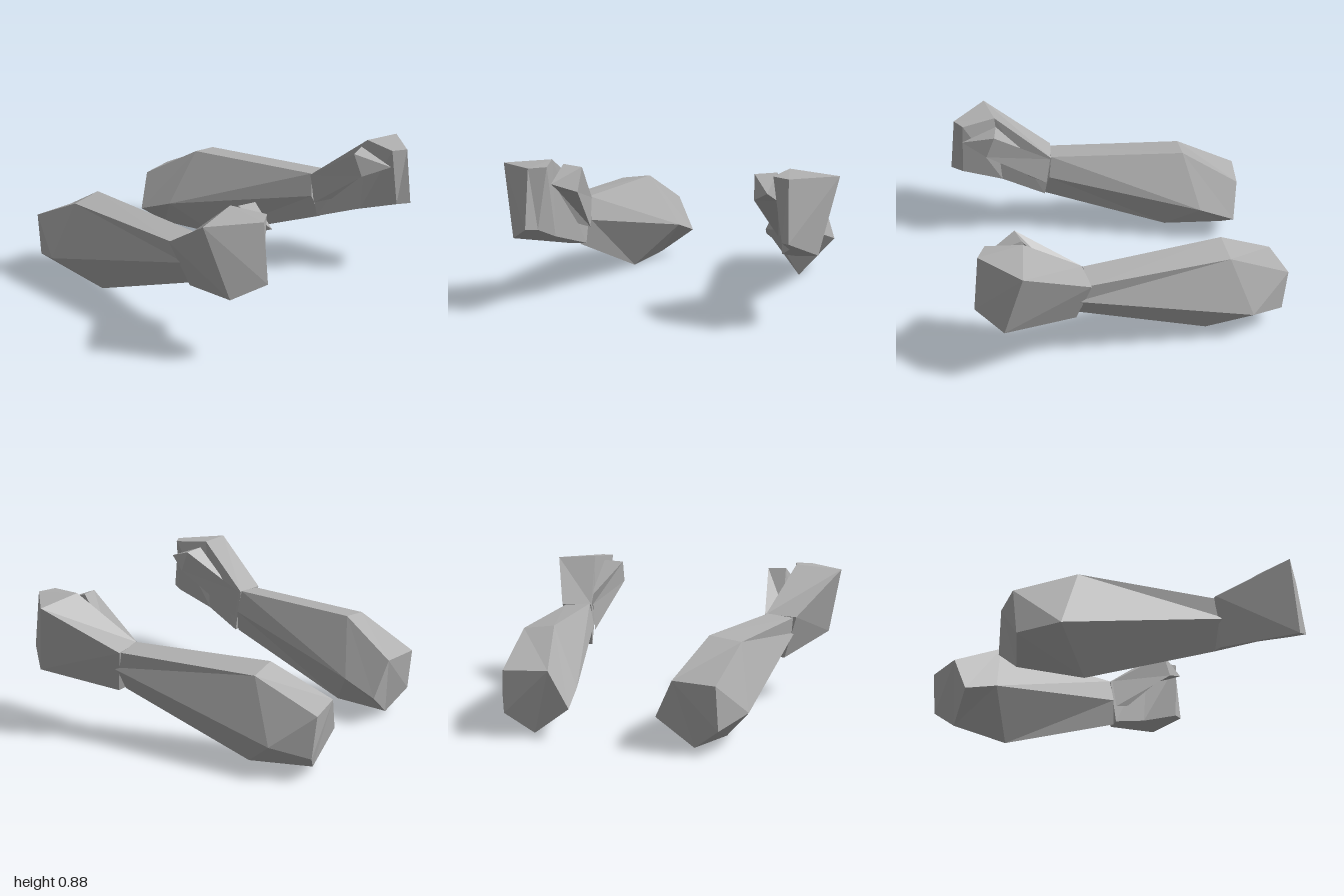
import * as THREE from 'three';

const grey = new THREE.MeshStandardMaterial({ color: 0xb0b0b0, flatShading: true });
grey.name = 'grey';

// Closed faceted solid through rings of equal length; side = -1 mirrors it in x
function loft(name, rings, side) {
  const pts = rings.map(r => r.map(([x, y, z]) => new THREE.Vector3(x * side, y, z)));
  const tris = [];
  const n = pts[0].length;
  for (let k = 0; k < pts.length - 1; k++) {
    const p = pts[k], q = pts[k + 1];
    for (let i = 0; i < n; i++) {
      const j = (i + 1) % n;
      tris.push([p[i], p[j], q[i]], [p[j], q[j], q[i]]);
    }
  }
  // end caps
  const first = pts[0], last = pts[pts.length - 1];
  for (let i = 1; i < n - 1; i++) {
    tris.push([first[0], first[i + 1], first[i]], [last[0], last[i], last[i + 1]]);
  }
  // signed volume tells whether the faces point outward
  const volume = tris.reduce((s, [a, b, c]) => s + a.dot(b.clone().cross(c)), 0);
  const verts = tris.flatMap(([a, b, c]) => (volume < 0 ? [a, c, b] : [a, b, c]));
  const geometry = new THREE.BufferGeometry().setFromPoints(verts);
  geometry.computeVertexNormals();
  const mesh = new THREE.Mesh(geometry, grey);
  mesh.name = name;
  return mesh;
}

// Five-sided rings: wrist, muscle bulge, elbow
const forearm = [
  [[0.61, 0.605, 0.30], [0.78, 0.59, 0.29], [0.77, 0.48, 0.37], [0.65, 0.31, 0.35], [0.59, 0.46, 0.32]],
  [[0.485, 0.61, -0.56], [0.68, 0.585, -0.57], [0.765, 0.21, -0.71], [0.57, 0, -0.47], [0.305, 0.26, -0.65]],
  [[0.375, 0.41, -0.91], [0.64, 0.405, -0.95], [0.65, 0.145, -0.925], [0.49, 0.02, -0.85], [0.265, 0.185, -0.87]],
];

// Four-sided rings: wrist, knuckles, folded fingers
const hand = [
  [[0.80, 0.595, 0.28], [0.60, 0.60, 0.30], [0.615, 0.32, 0.35], [0.71, 0.315, 0.36]],
  [[1.0, 0.855, 0.69], [0.71, 0.88, 0.65], [0.71, 0.41, 0.62], [0.905, 0.425, 0.80]],
  [[0.755, 0.86, 0.91], [0.66, 0.865, 0.86], [0.715, 0.50, 0.88], [0.765, 0.51, 0.95]],
];

// Four-sided rings: root, joint, pointed tip
const tip = [0.63, 0.77, 0.875];
const thumb = [
  [[0.59, 0.60, 0.31], [0.67, 0.62, 0.46], [0.63, 0.46, 0.45], [0.59, 0.42, 0.34]],
  [[0.515, 0.845, 0.675], [0.64, 0.855, 0.65], [0.655, 0.70, 0.70], [0.525, 0.705, 0.73]],
  [tip, tip, tip, tip],
];

export function createModel() {
  const model = new THREE.Group();
  model.name = 'pairOfArms';
  for (const [name, side] of [['leftArm', 1], ['rightArm', -1]]) {
    const arm = new THREE.Group();
    arm.name = name;
    arm.add(loft('forearm', forearm, side), loft('hand', hand, side), loft('thumb', thumb, side));
    model.add(arm);
  }
  return model;
}
